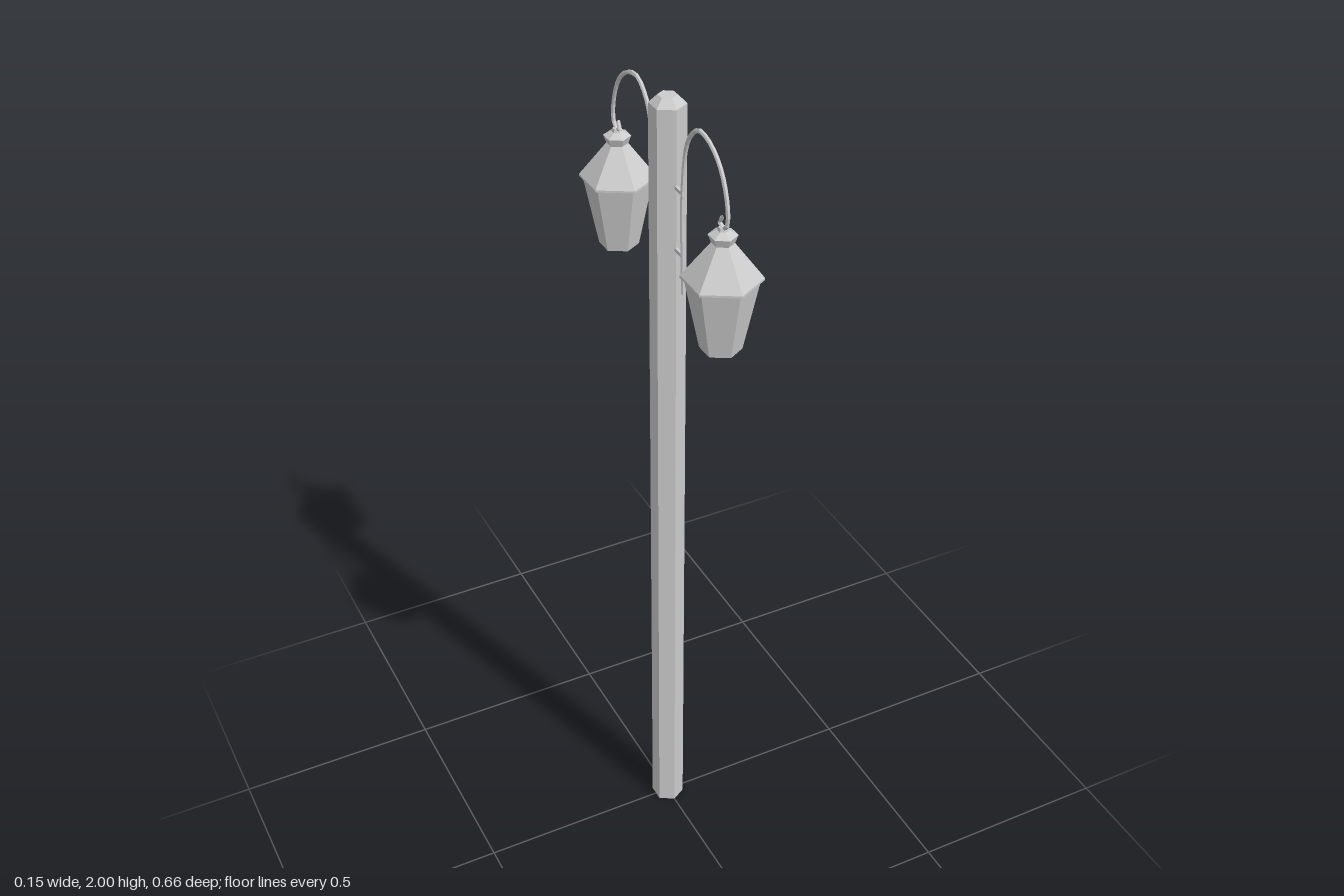
import * as THREE from 'three';

const material = new THREE.MeshStandardMaterial({ color: 0xcccccc, flatShading: true, side: THREE.DoubleSide });

function addMesh(parent, name, geometry) {
  const mesh = new THREE.Mesh(geometry, material);
  mesh.name = name;
  parent.add(mesh);
  return mesh;
}

// Six-sided turned shape from [radius, height] pairs, corners facing +z and -z
function hexLathe(profile) {
  return new THREE.LatheGeometry(profile.map(([r, y]) => new THREE.Vector2(r, y)), 6);
}

// Thin rod following [z, y] points in the plane x = 0
function rod(points, radius, segments) {
  const curve = new THREE.CatmullRomCurve3(points.map(([z, y]) => new THREE.Vector3(0, y, z)));
  return new THREE.TubeGeometry(curve, segments, radius, 6);
}

function createLampArm() {
  const arm = new THREE.Group();

  // Swan-neck arm rising beside the post and ending in a small hook
  addMesh(arm, 'curvedArm', rod([
    [0.074, 1.575], [0.069, 1.67], [0.068, 1.82], [0.083, 1.92], [0.103, 1.955],
    [0.138, 1.981], [0.186, 1.973], [0.228, 1.941], [0.254, 1.893], [0.263, 1.845],
    [0.256, 1.822], [0.243, 1.815], [0.231, 1.821], [0.229, 1.832], [0.238, 1.838],
  ], 0.005, 36));

  // Two brackets holding the arm to the post
  for (const y of [1.81, 1.665]) {
    addMesh(arm, 'bracket', new THREE.BoxGeometry(0.007, 0.008, 0.042)).position.set(0, y, 0.051);
  }

  // Hanging lantern
  const lantern = new THREE.Group();
  lantern.name = 'lantern';
  lantern.position.z = 0.244;
  arm.add(lantern);
  addMesh(lantern, 'lanternBody', hexLathe([[0, 1.538], [0.045, 1.538], [0.079, 1.705]]));
  addMesh(lantern, 'lanternRoof', hexLathe([
    [0.076, 1.7], [0.086, 1.702], [0.086, 1.707], [0.024, 1.785],
    [0.031, 1.803], [0.012, 1.813], [0.01, 1.82], [0, 1.82],
  ]));
  return arm;
}

export function createModel() {
  const model = new THREE.Group();
  model.name = 'streetLamp';

  // Hexagonal post, open below, with a bevelled top
  addMesh(model, 'post', hexLathe([[0.04, 0], [0.04, 1.982], [0.021, 2], [0, 2]]));

  // Matching arms at the front and back
  ['frontLamp', 'backLamp'].forEach((name, i) => {
    const lamp = createLampArm();
    lamp.name = name;
    lamp.rotation.y = i * Math.PI;
    model.add(lamp);
  });
  return model;
}
